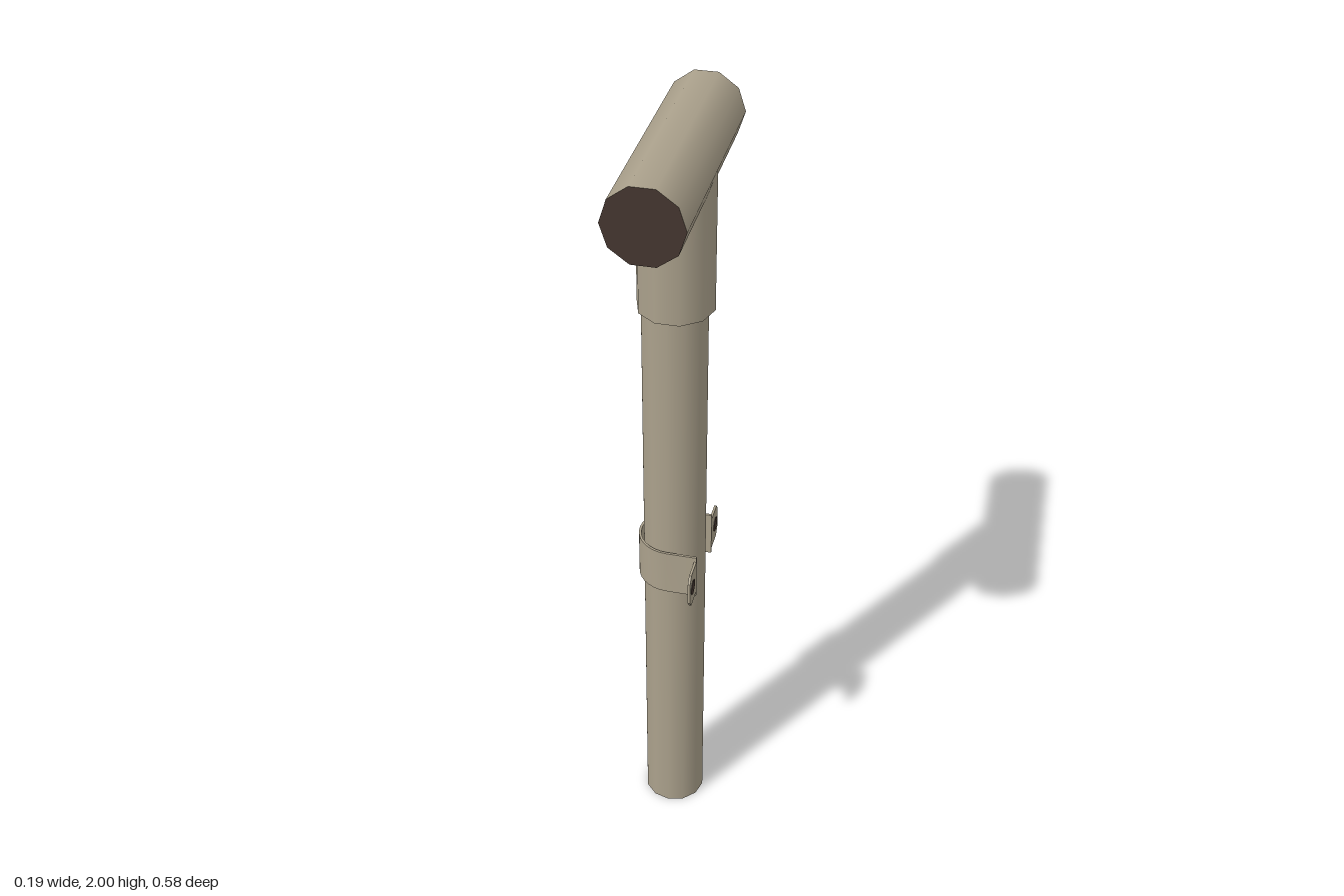
import * as THREE from 'three';
import { toCreasedNormals } from 'three/addons/utils/BufferGeometryUtils.js';

export function createModel() {
  const model = new THREE.Group();
  model.name = 'ventPipe';

  const metal = new THREE.MeshStandardMaterial({ color: 0xaba18c, side: THREE.DoubleSide });
  metal.name = 'beigeMetal';
  const dark = new THREE.MeshStandardMaterial({ color: 0x44362f, side: THREE.DoubleSide });
  dark.name = 'darkOpening';

  const add = (name, geometry, material, x, y, z, parent = model) => {
    const mesh = new THREE.Mesh(geometry, material);
    mesh.name = name;
    mesh.position.set(x, y, z);
    parent.add(mesh);
    return mesh;
  };

  const axisX = -0.005, axisZ = -0.006;

  // Long open pipe
  add('pipe', new THREE.CylinderGeometry(0.0795, 0.0795, 1.7, 12, 1, true), metal, axisX, 0.85, axisZ);

  // Wider sleeve running up into the head
  add('sleeve', new THREE.CylinderGeometry(0.092, 0.092, 0.35, 10, 1, true, Math.PI / 2),
    metal, -0.002, 1.735, axisZ);

  // Horizontal head with dark open ends
  const head = new THREE.CylinderGeometry(0.092, 0.092, 0.58, 10, 1, false, Math.PI / 2);
  head.rotateX(Math.PI / 2);
  add('head', head, [metal, dark, dark], 0, 1.9125, 0);

  // Bracket: a U-shaped strap round the -x side with two screw tabs
  const bracket = new THREE.Group();
  bracket.name = 'bracket';
  bracket.position.set(axisX, 0.84, axisZ);
  model.add(bracket);

  const outer = 0.09, inner = 0.084, reach = 0.076;
  const u = new THREE.Shape();
  u.moveTo(reach, outer);
  u.lineTo(0, outer);
  u.absarc(0, 0, outer, Math.PI / 2, Math.PI * 1.5, false);
  u.lineTo(reach, -outer);
  u.lineTo(reach, -inner);
  u.lineTo(0, -inner);
  u.absarc(0, 0, inner, Math.PI * 1.5, Math.PI / 2, true);
  u.lineTo(reach, inner);
  u.closePath();
  const strap = new THREE.ExtrudeGeometry(u, { depth: 0.122, bevelEnabled: false, curveSegments: 8 });
  strap.rotateX(-Math.PI / 2);
  add('strap', toCreasedNormals(strap, 0.7), metal, 0, -0.061, 0, bracket);

  // Tab outline with clipped outer corners
  const tab = new THREE.Shape([
    [0.085, -0.048], [0.143, -0.048], [0.157, -0.03],
    [0.157, 0.03], [0.143, 0.048], [0.085, 0.048],
  ].map(([a, b]) => new THREE.Vector2(a, b)));

  for (const side of [1, -1]) {
    const plate = new THREE.ExtrudeGeometry(tab, { depth: 0.006, bevelEnabled: false });
    plate.rotateY(side * Math.PI / 2);
    add('tab', plate, metal, side > 0 ? reach - 0.006 : reach, 0, 0, bracket).rotation.y = Math.PI;
    if (side > 0) bracket.children.at(-1).position.x = reach;

    // Screw hole seen from both faces
    const hole = new THREE.CylinderGeometry(0.02, 0.02, 0.009, 8);
    hole.rotateZ(Math.PI / 2);
    add('screwHole', hole, dark, reach - 0.003, 0, side * 0.128, bracket);
  }

  // Place each tab so its outer face is flush with the strap ends
  bracket.children.filter((m) => m.name === 'tab').forEach((m) => {
    m.geometry.computeBoundingBox();
    const b = m.geometry.boundingBox;
    m.position.x = reach + b.min.x;
  });

  return model;
}
